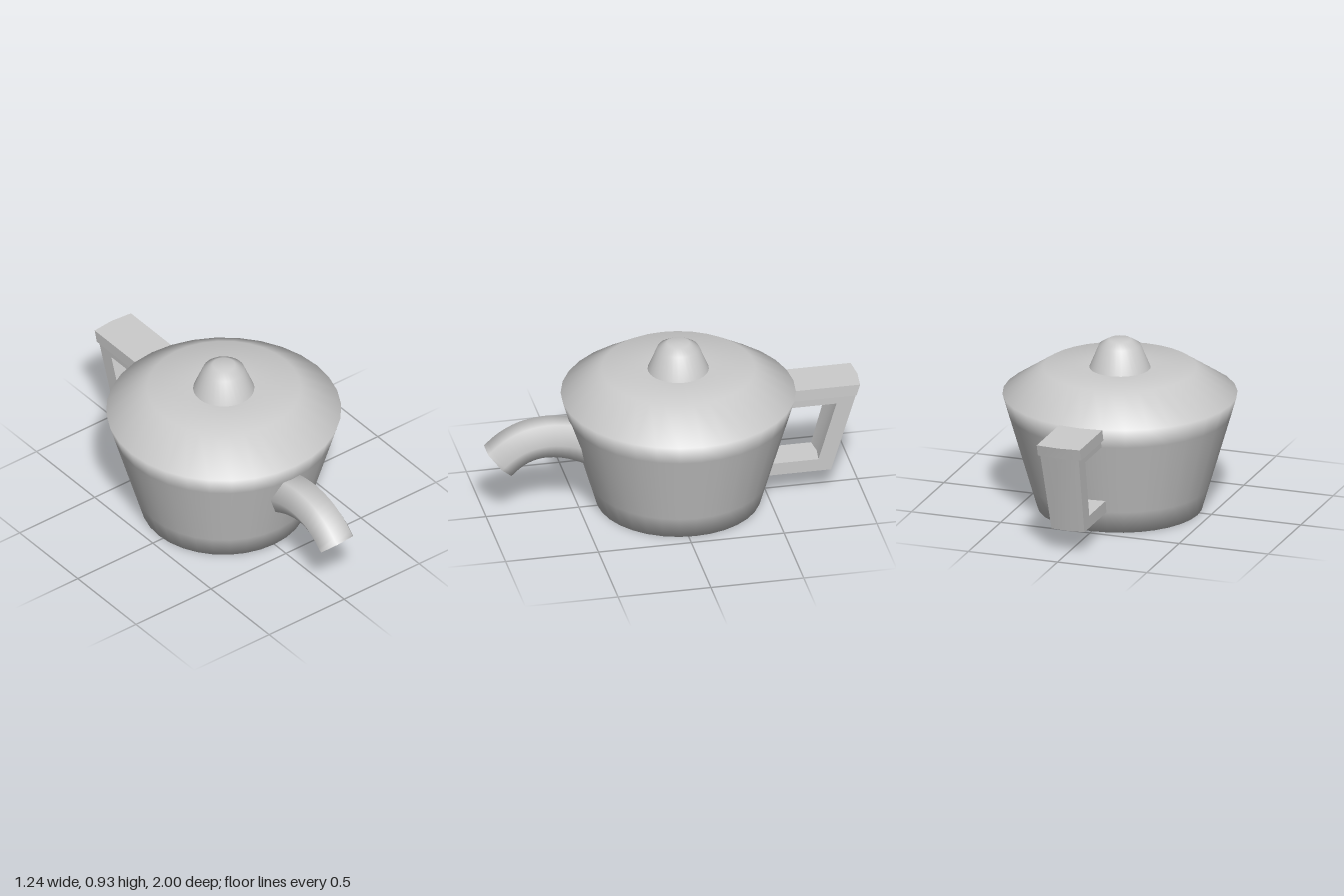
import * as THREE from 'three';
import { toCreasedNormals } from 'three/addons/utils/BufferGeometryUtils.js';

const BODY_Z = -0.035;
const V2 = (x, y) => new THREE.Vector2(x, y);

function part(name, geometry, material) {
  const mesh = new THREE.Mesh(geometry, material);
  mesh.name = name;
  return mesh;
}

// Side outline [z, y] extruded across x, then widened by halfWidth(y)
function sidePart(outline, hole, halfWidth) {
  const shape = new THREE.Shape(outline.map(p => V2(...p)));
  if (hole) shape.holes.push(new THREE.Path(hole.map(p => V2(...p))));
  const g = new THREE.ExtrudeGeometry(shape, { depth: 1, steps: 2, bevelEnabled: false });
  g.translate(0, 0, -0.5);
  g.rotateY(-Math.PI / 2);
  const pos = g.attributes.position;
  for (let i = 0; i < pos.count; i++) {
    const x = pos.getX(i), y = pos.getY(i);
    // the middle of the grip bulges back a little
    if (Math.abs(x) < 0.01 && pos.getZ(i) < -0.7) pos.setZ(i, pos.getZ(i) - 0.011);
    pos.setX(i, x * 2 * halfWidth(y));
  }
  return toCreasedNormals(g, 0.6);
}

// Open six-sided tube between an upper and a lower edge curve in the yz plane
function spoutGeometry() {
  const curve = pts => new THREE.SplineCurve(pts.map(p => V2(...p)));
  const top = curve([[0.50, 0.515], [0.57, 0.53], [0.68, 0.54], [0.81, 0.52], [0.92, 0.467], [1.0, 0.40]]);
  const low = curve([[0.45, 0.275], [0.57, 0.33], [0.68, 0.35], [0.76, 0.338], [0.82, 0.307], [0.875, 0.26]]);
  const section = [[0.055, 1], [0.11, 0.5], [0.055, 0], [-0.055, 0], [-0.11, 0.5], [-0.055, 1]];
  const steps = 15, n = section.length, pos = [], index = [];
  for (let i = 0; i <= steps; i++) {
    const a = low.getPoint(i / steps), b = top.getPoint(i / steps);
    for (const [x, t] of section) {
      const p = a.clone().lerp(b, t);
      pos.push(x, p.y, p.x);
    }
  }
  for (let i = 0; i < steps; i++) {
    for (let j = 0; j < n; j++) {
      const a = i * n + j, b = i * n + (j + 1) % n;
      index.push(a, b, a + n, b, b + n, a + n);
    }
  }
  const g = new THREE.BufferGeometry();
  g.setAttribute('position', new THREE.Float32BufferAttribute(pos, 3));
  g.setIndex(index);
  // turn the faces outward if the first one looks inward
  g.computeVertexNormals();
  if (g.attributes.normal.getX(1) < 0) {
    g.setIndex(index.reverse());
    g.computeVertexNormals();
  }
  return g;
}

export function createModel() {
  const group = new THREE.Group();
  const grey = new THREE.MeshStandardMaterial({ color: 0xcccccc });
  const thin = new THREE.MeshStandardMaterial({ color: 0xcccccc, side: THREE.DoubleSide });

  // Pot, shoulder and flat top
  const pot = [[0, 0], [0.435, 0], [0.472, 0.125], [0.589, 0.525], [0.62, 0.633], [0.405, 0.775], [0.162, 0.775], [0, 0.775]];
  const body = part('body', new THREE.LatheGeometry(pot.map(p => V2(...p)), 32), grey);
  body.position.z = BODY_Z;
  group.add(body);

  // Lid knob
  const knobProfile = [[0.162, 0.774], [0.11, 0.90], [0.06, 0.93], [0, 0.93]];
  const knob = part('lidKnob', new THREE.LatheGeometry(knobProfile.map(p => V2(...p)), 32), grey);
  knob.position.z = BODY_Z;
  group.add(knob);

  // Spout
  group.add(part('spout', spoutGeometry(), thin));

  // Handle: wide upper slab over a narrower grip frame
  const slab = [[-0.55, 0.633], [-0.989, 0.633], [-0.970, 0.57], [-0.55, 0.57]];
  group.add(part('handleTop', sidePart(slab, null, () => 0.121), grey));
  const frame = [[-0.56, 0.58], [-0.973, 0.58], [-0.839, 0.125], [-0.44, 0.125]];
  const hole = [[-0.60, 0.525], [-0.865, 0.525], [-0.77, 0.195], [-0.50, 0.195]];
  const taper = y => 0.092 + (y - 0.125) * 0.035;
  group.add(part('handleGrip', sidePart(frame, hole, taper), grey));

  return group;
}
